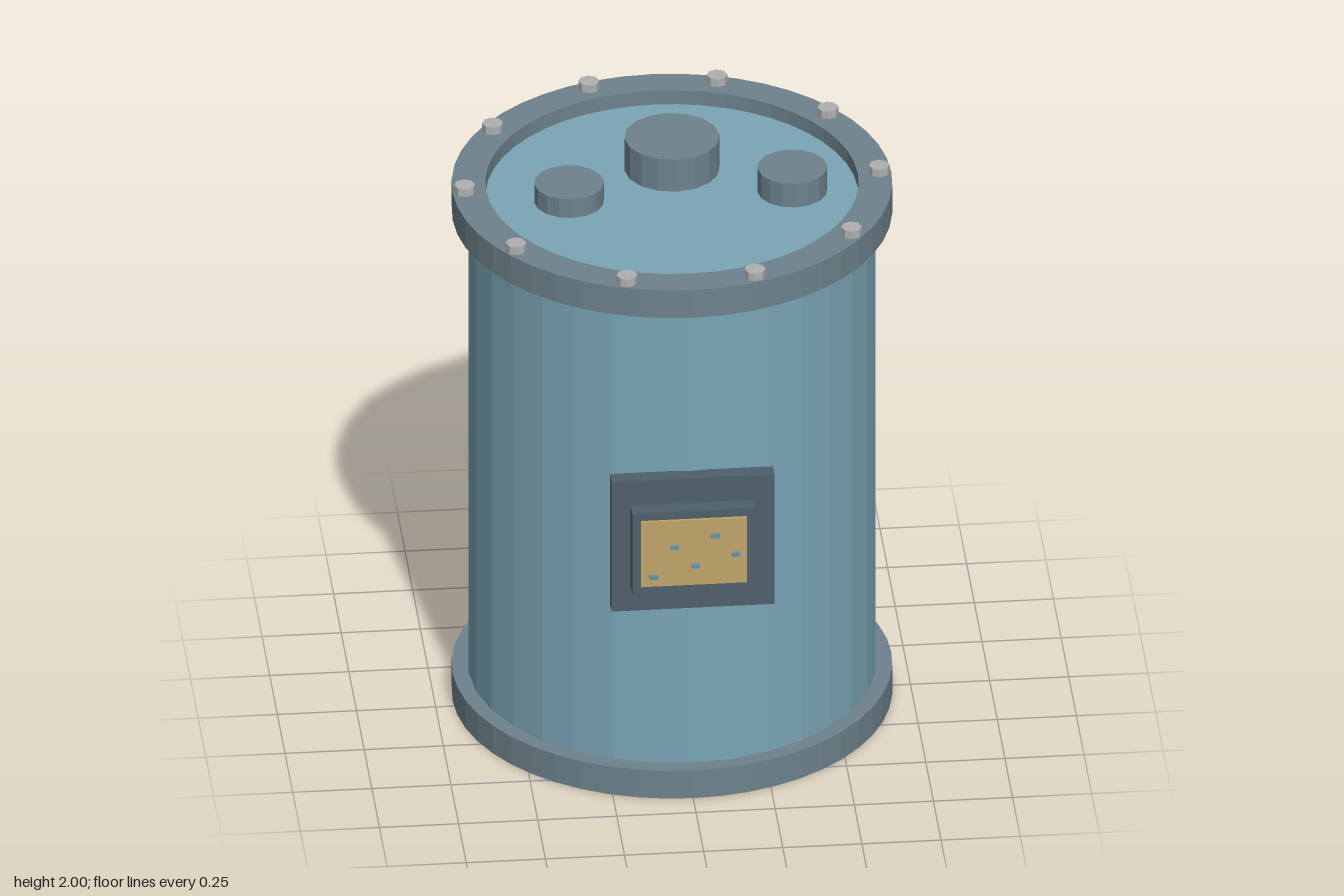
import * as THREE from 'three';

const AXIS_Z = -0.035;

function mat(name, color) {
  const m = new THREE.MeshStandardMaterial({ color, flatShading: true });
  m.name = name;
  return m;
}

export function createModel() {
  const root = new THREE.Group();
  root.name = 'canister';
  const teal = mat('teal paint', 0x7aa5b5);
  const steel = mat('grey steel', 0x6e828c);
  const bolt = mat('bolt metal', 0xb0b0b0);
  const slate = mat('dark slate', 0x4f606c);
  const brass = mat('brass plate', 0xc0a46a);
  const blue = mat('blue contact', 0x5f94ac);

  const add = (parent, name, geo, material, x = 0, y = 0, z = 0) => {
    const mesh = new THREE.Mesh(geo, material);
    mesh.name = name;
    mesh.position.set(x, y, z);
    parent.add(mesh);
    return mesh;
  };
  // Upright cylinder spanning y0 to y1
  const drum = (parent, name, material, r, y0, y1, sides, x = 0, z = 0) =>
    add(parent, name, new THREE.CylinderGeometry(r, r, y1 - y0, sides), material, x, (y0 + y1) / 2, z);

  // Round parts share one vertical axis
  const vessel = new THREE.Group();
  vessel.name = 'vessel';
  vessel.position.z = AXIS_Z;
  root.add(vessel);

  drum(vessel, 'body', teal, 0.643, 0.05, 1.785, 32);

  // Flanges: square-section rings standing proud of both body ends
  const outer = 0.693, inner = 0.587, h = 0.1;
  const section = [[outer, 0], [outer, h], [inner, h], [inner, 0], [outer, 0]]
    .map(([x, y]) => new THREE.Vector2(x, y));
  const ring = new THREE.LatheGeometry(section, 48);
  add(vessel, 'bottomFlange', ring, steel);
  add(vessel, 'topFlange', ring, steel, 0, 1.735);

  // Bolts through the top flange
  const bolts = new THREE.Group();
  bolts.name = 'bolts';
  vessel.add(bolts);
  for (let i = 0; i < 10; i++) {
    const a = (i / 10) * Math.PI * 2;
    drum(bolts, 'bolt', bolt, 0.033, 1.734, 1.862, 8, 0.655 * Math.cos(a), 0.655 * Math.sin(a));
  }

  // Caps over the lid
  drum(vessel, 'centreCap', steel, 0.15, 1.885, 2.0, 16);
  drum(vessel, 'rightCap', steel, 0.11, 1.785, 1.852, 16, -0.325);
  drum(vessel, 'leftCap', steel, 0.11, 1.785, 1.87, 16, 0.38);

  // Stepped connector panel on the front
  const panel = new THREE.Group();
  panel.name = 'connectorPanel';
  root.add(panel);
  const plate = (name, material, w, ht, z0, z1, x, y) =>
    add(panel, name, new THREE.BoxGeometry(w, ht, z1 - z0), material, x, y, (z0 + z1) / 2);
  plate('panelBase', slate, 0.515, 0.468, 0.603, 0.655, 0, 0.92);
  plate('panelStep', slate, 0.388, 0.292, 0.655, 0.708, -0.003, 0.919);
  plate('contactPlate', brass, 0.334, 0.234, 0.708, 0.717, -0.003, 0.921);
  const contacts = [[-0.13, 0.84], [-0.065, 0.945], [0, 0.875], [0.065, 0.98], [0.13, 0.91]];
  for (const [x, y] of contacts) plate('contact', blue, 0.026, 0.013, 0.717, 0.727, x, y);

  return root;
}
